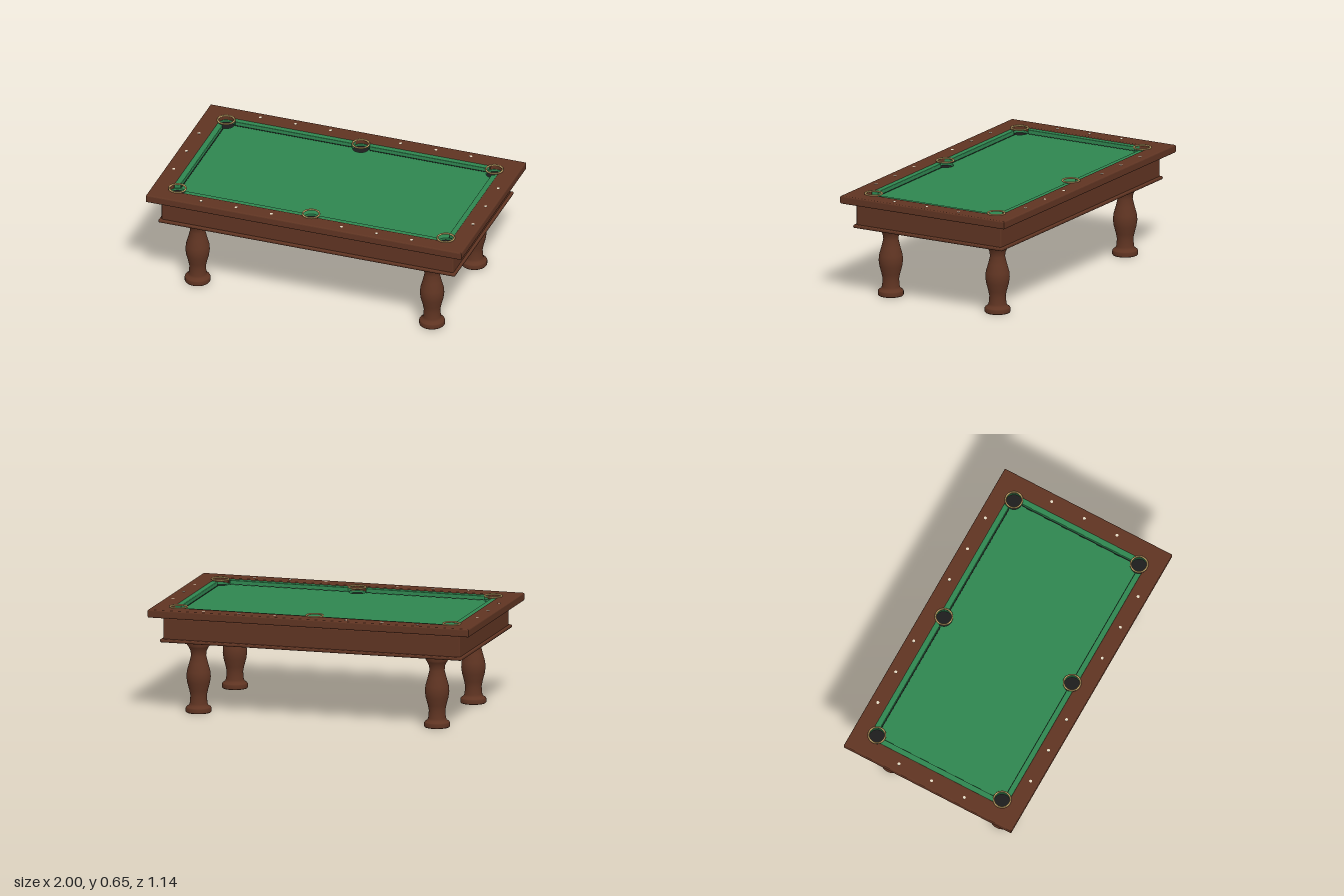
import * as THREE from 'three';
import { RoundedBoxGeometry } from 'three/addons/geometries/RoundedBoxGeometry.js';

const mat = (name, color) => Object.assign(new THREE.MeshStandardMaterial({ color }), { name });

export function createModel() {
  const table = new THREE.Group();
  table.name = 'billiardTable';
  const wood = mat('wood', 0x5f3422);
  const felt = mat('felt', 0x2f8650);
  const dark = mat('pocketBlack', 0x1c1c1c);
  const brass = mat('brass', 0xc2a468);
  const ivory = mat('ivory', 0xe6dcc6);

  const add = (name, geometry, material, x = 0, y = 0, z = 0) => {
    const mesh = new THREE.Mesh(geometry, material);
    mesh.name = name;
    mesh.position.set(x, y, z);
    table.add(mesh);
    return mesh;
  };
  // Extrude a plan outline (x, z) upward from y = 0
  const slab = (shape, depth, bevel = 0) => {
    const g = new THREE.ExtrudeGeometry(shape, {
      depth: depth - 2 * bevel, bevelEnabled: bevel > 0, bevelThickness: bevel,
      bevelSize: bevel, bevelOffset: -bevel, bevelSegments: 3, curveSegments: 24,
    });
    return g.translate(0, 0, bevel).rotateX(-Math.PI / 2);
  };
  const rectangle = (hx, hz) => new THREE.Shape([
    new THREE.Vector2(-hx, -hz), new THREE.Vector2(hx, -hz),
    new THREE.Vector2(hx, hz), new THREE.Vector2(-hx, hz)]);

  const pockets = [];
  for (const sz of [-1, 1]) {
    for (const sx of [-1, 0, 1]) pockets.push([sx * 0.85, sz * (sx ? 0.425 : 0.435)]);
  }

  // Turned legs
  const legProfile = [
    [0, 0], [0.074, 0], [0.077, 0.004], [0.077, 0.026], [0.073, 0.032], [0.058, 0.042], [0.053, 0.055],
    [0.049, 0.1], [0.056, 0.135], [0.068, 0.18], [0.073, 0.215], [0.070, 0.25], [0.056, 0.3],
    [0.045, 0.345], [0.049, 0.375], [0.060, 0.397], [0.069, 0.41], [0.070, 0.445],
  ].map(([r, y]) => new THREE.Vector2(r, y));
  const legGeometry = new THREE.LatheGeometry(legProfile, 32);
  for (const x of [-0.743, 0.743]) {
    for (const z of [-0.37, 0.37]) add('leg', legGeometry, wood, x, 0, z);
  }

  // Cabinet and base moulding
  add('cabinet', new RoundedBoxGeometry(1.85, 0.145, 1.004, 3, 0.008), wood, 0, 0.5145, 0);
  add('baseMoulding', new RoundedBoxGeometry(1.88, 0.02, 1.034, 3, 0.008), wood, 0, 0.449, 0);

  // Rail frame: the opening is a rectangle with a rounded bite at each pocket
  const bite = 0.0535, hx = 0.886, hz = 0.463;
  const arc = (cx, cz, from, to) => Array.from({ length: 13 }, (_, i) => {
    const a = from + (to - from) * i / 12;
    return new THREE.Vector2(cx + bite * Math.cos(a), cz + bite * Math.sin(a));
  });
  const corner = arc(0.85, 0.425, -Math.acos((hx - 0.85) / bite), Math.PI / 2 + Math.acos((hz - 0.425) / bite));
  const sideAngle = Math.asin((hz - 0.435) / bite);
  const side = arc(0, 0.435, sideAngle, Math.PI - sideAngle);
  const flip = (points, sx, sz) => points.map(p => new THREE.Vector2(p.x * sx, p.y * sz));
  const opening = [
    ...corner, ...side, ...flip(corner, -1, 1).reverse(),
    ...flip(corner, -1, -1), ...flip(side, -1, -1), ...flip(corner, 1, -1).reverse(),
  ];
  const frame = rectangle(1, 0.568);
  frame.holes.push(new THREE.Path(opening));
  add('railFrame', slab(frame, 0.049, 0.008), wood, 0, 0.596, 0);

  // Felt bed with pocket holes
  const bed = rectangle(0.91, 0.49);
  for (const [x, z] of pockets) {
    const hole = new THREE.Path();
    hole.absarc(x, z, 0.05, 0, Math.PI * 2, true);
    bed.holes.push(hole);
  }
  add('bed', slab(bed, 0.014), felt, 0, 0.6, 0);

  // Cushions, each with a thin dark seam under its nose
  const cushion = (halfBack, halfNose, width) => new THREE.Shape([
    new THREE.Vector2(-halfBack, 0), new THREE.Vector2(-halfNose, -width),
    new THREE.Vector2(halfNose, -width), new THREE.Vector2(halfBack, 0)]);
  const addCushion = (x, z, turn, halfBack, halfNose, width) => {
    const body = add('cushion', slab(cushion(halfBack, halfNose, width), 0.029, 0.003), felt, x, 0.61, z);
    const seam = add('cushionSeam', slab(cushion(halfBack, halfNose, width + 0.005), 0.003), dark, x, 0.6125, z);
    body.rotation.y = seam.rotation.y = turn;
  };
  for (const s of [-1, 1]) {
    for (const x of [-0.425, 0.425]) addCushion(x, s * 0.468, s > 0 ? Math.PI : 0, 0.382, 0.368, 0.038);
    addCushion(s * 0.89, 0, s > 0 ? -Math.PI / 2 : Math.PI / 2, 0.385, 0.37, 0.038);
  }

  // Pocket cups and brass rims
  const cupGeometry = new THREE.CylinderGeometry(0.052, 0.052, 0.033, 32);
  const rimGeometry = new THREE.TorusGeometry(0.05, 0.0055, 8, 32).rotateX(Math.PI / 2);
  for (const [x, z] of pockets) {
    add('pocketCup', cupGeometry, dark, x, 0.5845, z);
    add('pocketRim', rimGeometry, brass, x, 0.6445, z);
  }

  // Sight markers along the rails
  const sightGeometry = new THREE.CylinderGeometry(0.009, 0.009, 0.004, 12);
  for (const s of [-1, 1]) {
    for (const x of [-0.667, -0.445, -0.222, 0.222, 0.445, 0.667]) add('sight', sightGeometry, ivory, x, 0.6445, s * 0.519);
    for (const z of [-0.222, 0, 0.222]) add('sight', sightGeometry, ivory, s * 0.948, 0.6445, z);
  }
  return table;
}
